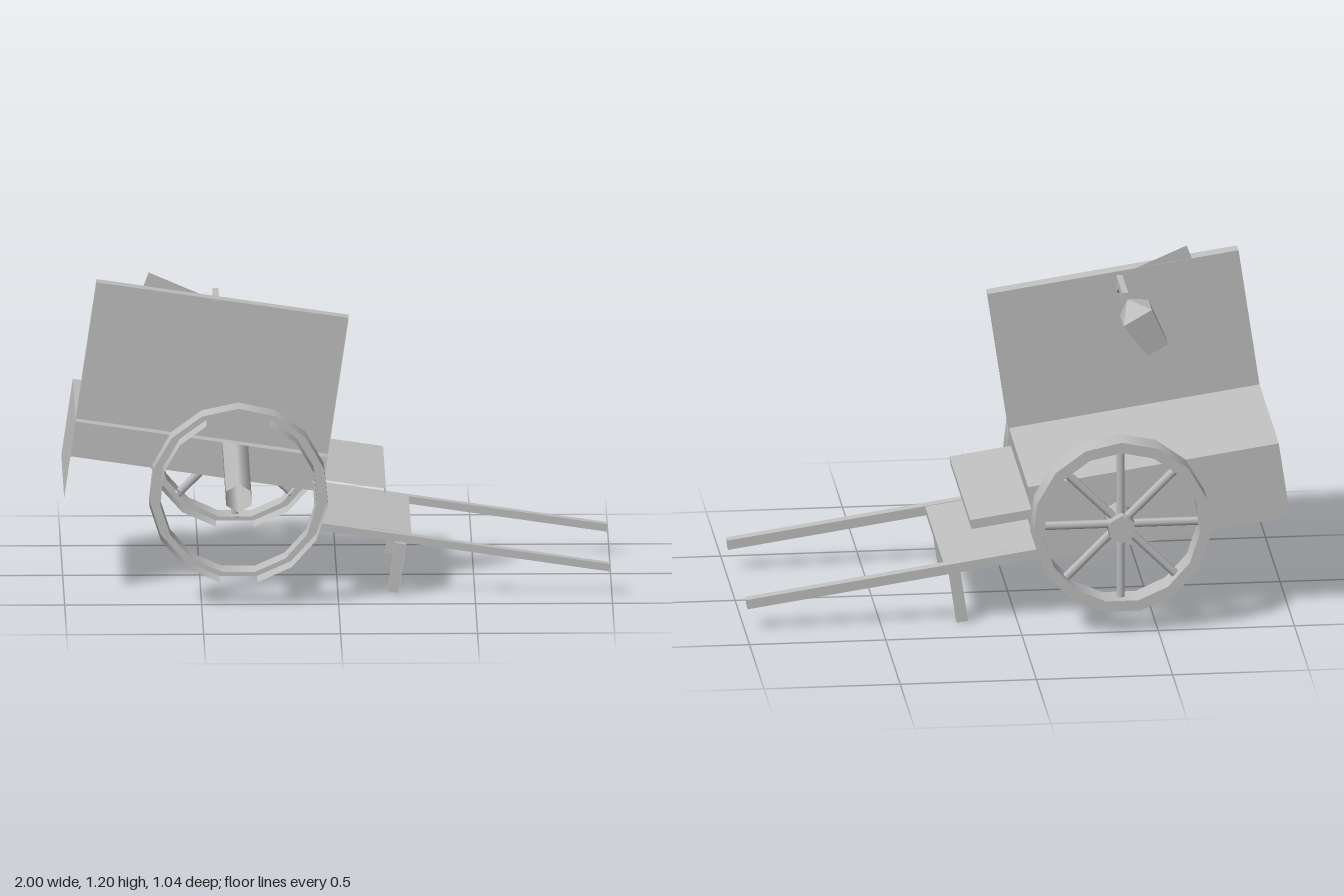
import * as THREE from 'three';

const grey = new THREE.MeshStandardMaterial({ color: 0xc0c0c0, side: THREE.DoubleSide });
grey.name = 'grey';

function part(parent, name, geometry, x = 0, y = 0, z = 0) {
  const mesh = new THREE.Mesh(geometry, grey);
  mesh.name = name;
  mesh.position.set(x, y, z);
  parent.add(mesh);
  return mesh;
}

// Board given by its limits, hollow: open underneath and on the +z side
function board(parent, name, [x0, x1], [y0, y1], [z0, z1]) {
  const g = new THREE.BoxGeometry(x1 - x0, y1 - y0, z1 - z0);
  g.setIndex([...g.index.array].filter((_, i) => i < 18 || i >= 30));
  g.clearGroups();
  return part(parent, name, g, (x0 + x1) / 2, (y0 + y1) / 2, (z0 + z1) / 2);
}

// Open tube along z, with a vertex at the top
function tube(radius, depth, sides, first = 0, count = sides) {
  const step = (Math.PI * 2) / sides;
  return new THREE.CylinderGeometry(radius, radius, depth, count, 1, true, first * step, count * step)
    .rotateX(-Math.PI / 2);
}

// Four-sided frustum with flat faces, aligned to the axes
function frustum(top, bottom, height) {
  return new THREE.CylinderGeometry(top * Math.SQRT2, bottom * Math.SQRT2, height, 4)
    .rotateY(Math.PI / 4).toNonIndexed();
}

function makeWheel(name, z) {
  const wheel = new THREE.Group();
  wheel.name = name;
  wheel.position.set(-0.365, 0.412, z);
  part(wheel, 'outerTread', tube(0.328, 0.106, 15, 8, 14));
  part(wheel, 'innerTread', tube(0.288, 0.106, 15, 1, 13));
  part(wheel, 'rimFace', new THREE.RingGeometry(0.288, 0.328, 15, 1, Math.PI / 2), 0, 0, -0.053)
    .geometry.rotateY(Math.PI);
  return wheel;
}

export function createModel() {
  const model = new THREE.Group();
  model.name = 'handcart';

  // Tilted body: local x runs along the bed, local y up from its underside
  const body = new THREE.Group();
  body.name = 'body';
  body.position.set(-1, 0.375, 0);
  body.rotation.z = -0.1466;
  model.add(body);

  board(body, 'cargoBox', [0, 0.93], [0, 0.288], [-0.355, 0.368]);
  board(body, 'tallPanel', [0, 0.93], [0.288, 0.814], [0.312, 0.368]);
  board(body, 'step', [0.93, 1.158], [0.166, 0.201], [-0.355, 0.364]);
  board(body, 'platform', [0.93, 1.276], [0.003, 0.04], [-0.302, 0.325]);
  for (const [side, shaftZ, legZ] of [['left', 0.349, 0.335], ['right', -0.322, -0.313]]) {
    board(body, side + 'Shaft', [0.92, 2.011], [0.004, 0.04], [shaftZ - 0.019, shaftZ + 0.019]);
    board(body, side + 'Leg', [1.221, 1.262], [-0.189, 0.004], [legZ - 0.022, legZ + 0.022]);
  }

  // Thin peak rising above the panel
  const peak = new THREE.Shape([[0.17, 0.8], [0.38, 0.814], [0.185, 0.866]]
    .map(([x, y]) => new THREE.Vector2(x, y)));
  part(body, 'panelPeak', new THREE.ShapeGeometry(peak), 0, 0, 0.314);

  // Wheels, axle and spokes
  const leftWheel = makeWheel('leftWheel', 0.468);
  const rightWheel = makeWheel('rightWheel', -0.468);
  model.add(leftWheel, rightWheel);
  for (let i = 0; i < 8; i++) {
    const spoke = new THREE.CylinderGeometry(0.016, 0.016, 0.26, 6).translate(0, 0.165, 0);
    part(rightWheel, 'spoke', spoke).rotation.z = (i * Math.PI) / 4;
  }
  part(model, 'axle', tube(0.053, 1.045, 6), -0.365, 0.405, 0);
  part(model, 'axleCap', new THREE.CircleGeometry(0.053, 6, Math.PI / 2).rotateY(Math.PI), -0.365, 0.405, -0.5225);

  // Bracket arm: profile drawn in z and y, then turned to face along x
  const profile = new THREE.Shape([[0.316, 1.03], [0.25, 1.07], [0.11, 1.07], [0.11, 1.1], [0.316, 1.1]]
    .map(([z, y]) => new THREE.Vector2(-z, y)));
  const arm = new THREE.ExtrudeGeometry(profile, { depth: 0.022, bevelEnabled: false });
  part(model, 'lanternArm', arm.rotateY(Math.PI / 2), -0.455, 0, 0);

  // Lantern hanging askew
  const lantern = new THREE.Group();
  lantern.name = 'lantern';
  lantern.position.set(-0.485, 1.015, 0.13);
  lantern.rotation.z = -Math.PI / 6;
  model.add(lantern);
  for (const [name, g, y] of [
    ['lanternRoof', frustum(0, 0.06, 0.063), 0.0315],
    ['lanternBody', frustum(0.06, 0.043, 0.152), -0.076],
  ]) {
    g.computeVertexNormals();
    part(lantern, name, g, 0, y, 0);
  }

  return model;
}
